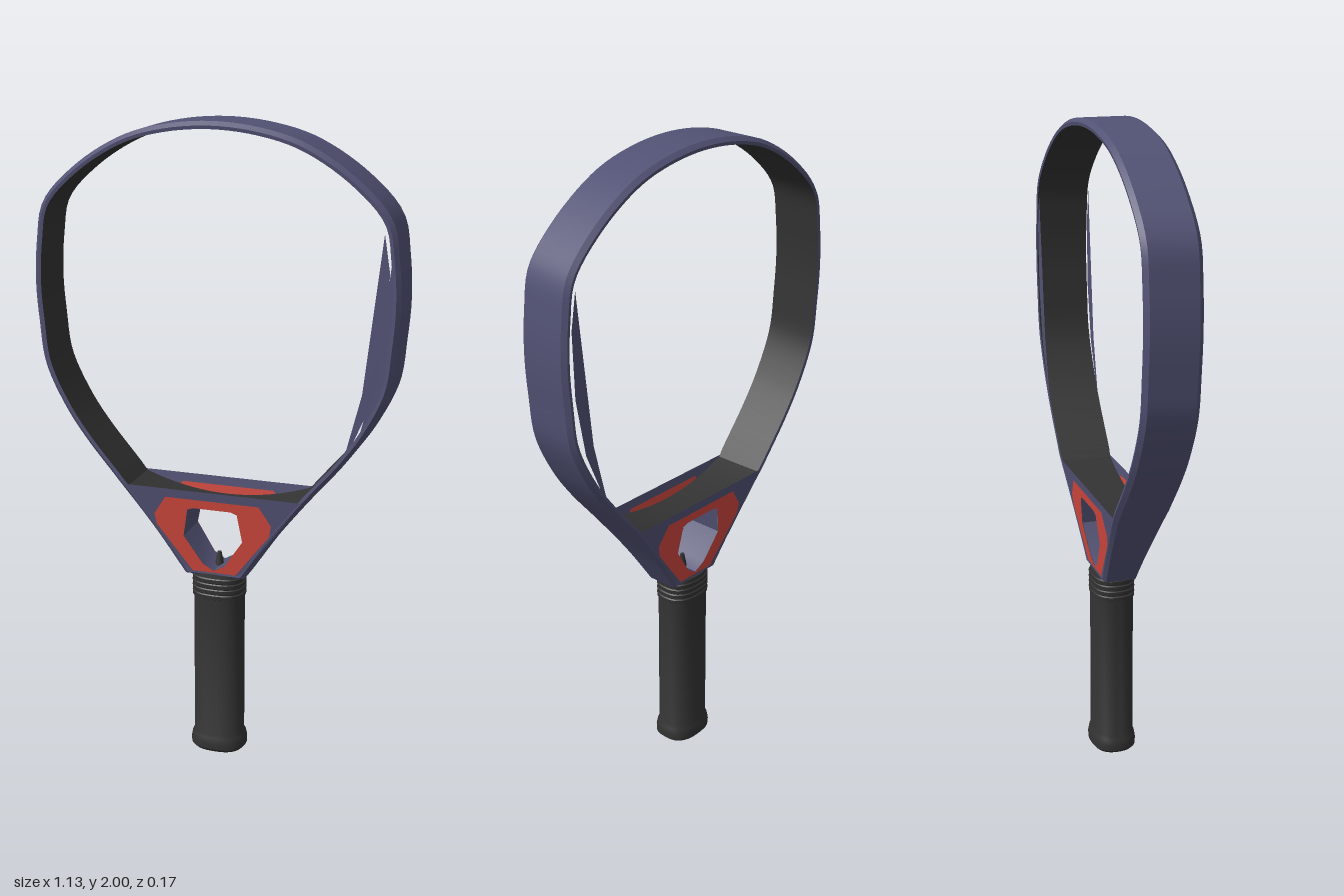
import * as THREE from 'three';
import { toCreasedNormals } from 'three/addons/utils/BufferGeometryUtils.js';

const material = (name, color) =>
  new THREE.MeshStandardMaterial({ name, color, side: THREE.DoubleSide });

// Half depth of the racket: slim at the handle, full above the throat
const halfDepth = y =>
  THREE.MathUtils.lerp(0.056, 0.084, THREE.MathUtils.clamp((y - 0.61) / 0.28, 0, 1));

// Right half of the outline, from the handle up to the tip
const half = [[0.095, 0.605], [0.19, 0.745], [0.298, 0.885], [0.41, 1.02], [0.475, 1.115],
  [0.538, 1.25], [0.555, 1.38], [0.563, 1.5], [0.555, 1.63], [0.532, 1.745], [0.43, 1.855],
  [0.28, 1.948], [0.15, 1.986], [0, 2]];
const mirrored = half.slice(0, -1).reverse().map(([x, y]) => [-x, y]);
const outline = new THREE.CatmullRomCurve3(
  [...half, ...mirrored].map(([x, y]) => new THREE.Vector3(x, y, 0)), false, 'centripetal');

// Sweeps a section of [inset, depth share] pairs around the closed outline
function sweep(section, steps = 128) {
  const pos = [], index = [], n = section.length;
  for (let i = 0; i <= steps; i++) {
    const p = outline.getPointAt(i / steps), t = outline.getTangentAt(i / steps);
    for (const [inset, share] of section)
      pos.push(p.x - t.y * inset, p.y + t.x * inset, share * halfDepth(p.y));
    const next = (i + 1) % (steps + 1);
    for (let j = 0; j < n - 1; j++) {
      const a = i * n + j, b = next * n + j;
      index.push(a, a + 1, b, a + 1, b + 1, b);
    }
  }
  const g = new THREE.BufferGeometry();
  g.setAttribute('position', new THREE.Float32BufferAttribute(pos, 3));
  g.setIndex(index);
  return toCreasedNormals(g, 0.5);
}

// Flat plate that follows the depth taper on the front (1) or back (-1)
function plate(points, hole, side) {
  const vec = list => list.map(([x, y]) => new THREE.Vector2(x, y));
  const shape = new THREE.Shape(vec(points));
  if (hole) shape.holes.push(new THREE.Path(vec(hole)));
  const g = new THREE.ShapeGeometry(shape);
  const p = g.attributes.position;
  for (let i = 0; i < p.count; i++) p.setZ(i, side * (halfDepth(p.getY(i)) - 0.002));
  if (side < 0) {
    const idx = g.index.array;
    for (let i = 0; i < idx.length; i += 3) [idx[i], idx[i + 1]] = [idx[i + 1], idx[i]];
  }
  g.computeVertexNormals();
  return g;
}

// Wall between front and back along a line of points
function wall(points) {
  const pos = [], index = [];
  points.forEach(([x, y], i) => {
    const z = halfDepth(y) - 0.003;
    pos.push(x, y, z, x, y, -z);
    if (i) index.push(2 * i - 2, 2 * i - 1, 2 * i, 2 * i - 1, 2 * i + 1, 2 * i);
  });
  const g = new THREE.BufferGeometry();
  g.setAttribute('position', new THREE.Float32BufferAttribute(pos, 3));
  g.setIndex(index);
  return toCreasedNormals(g, 0.5);
}

export function createModel() {
  const model = new THREE.Group();
  model.name = 'racket';
  const blue = material('slate blue', 0x525275);
  const red = material('red', 0xd0483e);
  const dark = material('charcoal', 0x333333);
  const add = (name, geometry, mat) => {
    const mesh = new THREE.Mesh(geometry, mat);
    mesh.name = name;
    model.add(mesh);
    return mesh;
  };

  // Hoop with chamfered edges and a dark lining
  add('frame', sweep([[0.022, 0.98], [0.012, 1], [0, 0.84], [0, -0.84], [0.012, -1], [0.022, -0.98]]), blue);
  add('frameLining', sweep([[0.022, -0.98], [0.022, 0.98]]), dark);

  // Throat plates, red panels and remaining face strips on both sides
  const throat = [[-0.285, 0.888], [-0.085, 0.615], [0.085, 0.615], [0.285, 0.888]];
  const panel = [[-0.15, 0.86], [-0.188, 0.8], [-0.182, 0.765], [-0.07, 0.618],
    [0.07, 0.618], [0.182, 0.765], [0.188, 0.8], [0.15, 0.86]];
  const opening = [[-0.08, 0.825], [-0.095, 0.735], [-0.035, 0.645], [0, 0.625],
    [0.035, 0.645], [0.095, 0.735], [0.08, 0.825], [0.06, 0.832], [-0.06, 0.832]];
  const strip = [[0.512, 1.71], [0.46, 1.24], [0.41, 1.04], [0.435, 1.09], [0.49, 1.22], [0.524, 1.4], [0.53, 1.6]];
  for (const [side, label] of [[1, 'front'], [-1, 'back']]) {
    add(label + 'ThroatPlate', plate(throat, panel, side), blue);
    add(label + 'ThroatPanel', plate(panel, opening, side), red);
    add(label + 'FaceStrip', plate(strip, null, side), blue);
  }

  // Side walls of the opening, and the sagging bridge above it
  add('leftOpeningWall', wall(opening.slice(3, 7)), blue);
  add('rightOpeningWall', wall(opening.slice(0, 4)), blue);
  const bridge = [];
  for (let i = 0; i <= 20; i++) {
    const x = -0.285 + 0.57 * i / 20;
    bridge.push([x, 0.835 + 0.055 * (x / 0.285) ** 2]);
  }
  add('bridge', wall(bridge), dark);

  // Grip with butt cap and ridged collar, squared off slightly
  const profile = [[0, 0], [0.078, 0.002], [0.088, 0.012], [0.089, 0.03], [0.085, 0.05],
    [0.079, 0.062], [0.079, 0.53]];
  for (let i = 0; i < 4; i++) {
    const y = 0.53 + i * 0.018;
    profile.push([0.083, y + 0.002], [0.084, y + 0.014], [0.08, y + 0.017]);
  }
  profile.push([0.078, 0.612], [0, 0.616]);
  const grip = new THREE.LatheGeometry(profile.map(([r, y]) => new THREE.Vector2(r, y)), 40);
  const p = grip.attributes.position;
  for (let i = 0; i < p.count; i++) {
    const x = p.getX(i), z = p.getZ(i), r = Math.hypot(x, z);
    if (r < 1e-6) continue;
    const k = (Math.abs(x / r) ** 2.5 + Math.abs(z / r) ** 2.5) ** (-1 / 2.5);
    p.setXYZ(i, x * k, p.getY(i), z * k * 0.8);
  }
  add('grip', toCreasedNormals(grip, 0.6), dark);

  // Small peg at the foot of the opening
  const peg = add('peg', new THREE.CylinderGeometry(0.006, 0.018, 0.06, 10), dark);
  peg.position.y = 0.64;

  return model;
}
